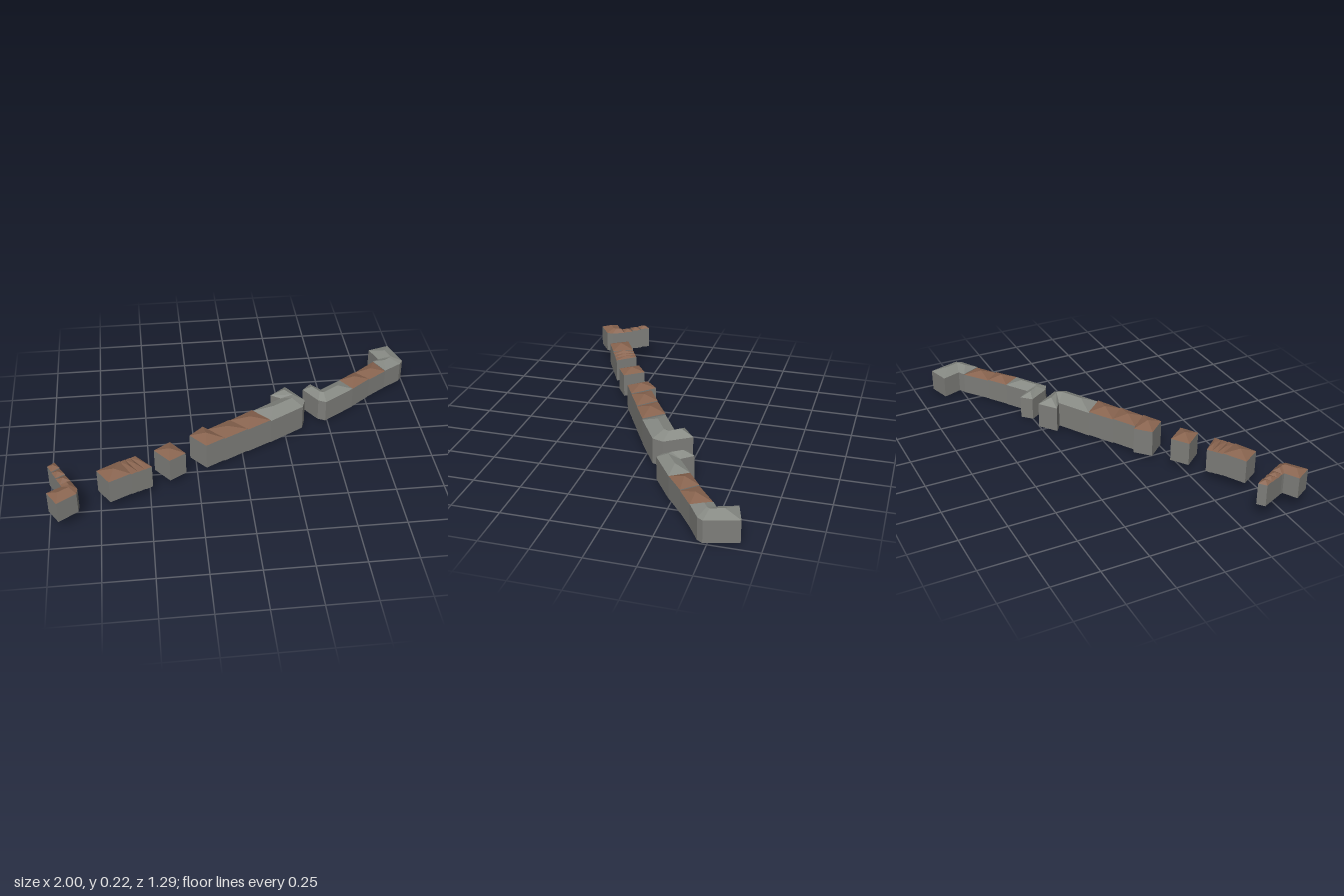
import * as THREE from 'three';

const wallGrey = new THREE.MeshStandardMaterial({ color: 0x7e7e7a });
wallGrey.name = 'wallGrey';
const slateGrey = new THREE.MeshStandardMaterial({ color: 0x868983 });
slateGrey.name = 'slateGrey';
const tileBrown = new THREE.MeshStandardMaterial({ color: 0x89644f });
tileBrown.name = 'tileBrown';

const mix = (a, b, t) => a.map((v, i) => v + (b[i] - v) * t);

// Flat-faced mesh from a list of polygons (each a convex fan of points)
function facetMesh(name, polygons, material) {
  const pos = [];
  for (const p of polygons)
    for (let i = 1; i < p.length - 1; i++) pos.push(...p[0], ...p[i], ...p[i + 1]);
  const geo = new THREE.BufferGeometry();
  geo.setAttribute('position', new THREE.Float32BufferAttribute(pos, 3));
  geo.computeVertexNormals();
  const mesh = new THREE.Mesh(geo, material);
  mesh.name = name;
  return mesh;
}

// House following a path: left and right outlines as [x, z], hipped roof with
// a central ridge. An inset of 0.5 on a four-cornered plan gives a pyramid.
function house(name, left, right, base, eave, rise, inset, roofMaterial) {
  const at = (p, y) => [p[0], y, p[1]];
  const n = left.length - 1;
  const mids = left.map((p, i) => mix(p, right[i], 0.5));
  const ridge = mids.slice();
  ridge[0] = mix(mids[0], mids[1], inset);
  ridge[n] = mix(mids[n], mids[n - 1], inset);
  const walls = [], roof = [];
  const wall = (a, b) => walls.push([at(a, base), at(b, base), at(b, eave), at(a, eave)]);
  const top = eave + rise;

  wall(left[0], right[0]);
  wall(right[n], left[n]);
  roof.push([at(left[0], eave), at(right[0], eave), at(ridge[0], top)]);
  roof.push([at(right[n], eave), at(left[n], eave), at(ridge[n], top)]);
  for (let i = 0; i < n; i++) {
    const [l0, l1, r0, r1] = [left[i], left[i + 1], right[i], right[i + 1]];
    wall(r0, r1);
    wall(l1, l0);
    walls.push([at(l0, base), at(l1, base), at(r1, base), at(r0, base)]);
    roof.push([at(r0, eave), at(r1, eave), at(ridge[i + 1], top), at(ridge[i], top)]);
    roof.push([at(l1, eave), at(l0, eave), at(ridge[i], top), at(ridge[i + 1], top)]);
  }
  const group = new THREE.Group();
  group.name = name;
  group.add(facetMesh('walls', walls, wallGrey), facetMesh('roof', roof, roofMaterial));
  return group;
}

// Several narrow pyramid-roofed houses between two end edges
function narrowRow(name, l0, l1, r0, r1, count, bases, eaves, rise) {
  const row = new THREE.Group();
  row.name = name;
  for (let i = 0; i < count; i++) {
    const a = i / count, b = (i + 1) / count, m = count > 1 ? i / (count - 1) : 0;
    row.add(house('narrowHouse', [mix(l0, l1, a), mix(l0, l1, b)], [mix(r0, r1, a), mix(r0, r1, b)],
      mix(bases, [bases[1], 0], m)[0], mix(eaves, [eaves[1], 0], m)[0], rise, 0.5, tileBrown));
  }
  return row;
}

export function createModel() {
  const model = new THREE.Group();
  model.name = 'terracedHouses';
  const square = (name, l, r, base, eave, rise) =>
    model.add(house(name, l, r, base, eave, rise, 0.5, tileBrown));

  // East terrace: two slate corner wings with tiled houses between
  model.add(house('eastTerraceLeftWing',
    [[0.43, -0.30], [0.48, -0.24], [0.48, -0.24], [0.60, -0.32]],
    [[0.38, -0.25], [0.45, -0.14], [0.49, -0.12], [0.66, -0.23]], 0, 0.125, 0.025, 0.4, slateGrey));
  square('eastHouse', [[0.60, -0.32], [0.70, -0.39]], [[0.66, -0.23], [0.77, -0.315]], 0.002, 0.125, 0.026);
  square('eastHouse', [[0.70, -0.39], [0.83, -0.49]], [[0.77, -0.315], [0.88, -0.39]], 0.004, 0.12, 0.022);
  model.add(house('eastTerraceRightWing',
    [[0.83, -0.49], [0.865, -0.51], [0.865, -0.51], [0.83, -0.61]],
    [[0.88, -0.39], [0.98, -0.45], [1.0, -0.48], [0.95, -0.645]], 0.005, 0.123, 0.026, 0.5, slateGrey));

  // Middle terrace: tiled houses ending in a slate corner wing
  square('middleHouse', [[-0.28, 0.15], [-0.205, 0.08]], [[-0.20, 0.245], [-0.10, 0.19]], 0.02, 0.165, 0.025);
  square('middleHouse', [[-0.18, 0.10], [-0.06, 0.03]], [[-0.10, 0.19], [0.03, 0.12]], 0.015, 0.16, 0.022);
  square('middleHouse', [[-0.06, 0.03], [0.07, -0.05]], [[0.03, 0.12], [0.16, 0.05]], 0.01, 0.155, 0.025);
  model.add(house('middleTerraceWing',
    [[0.07, -0.05], [0.24, -0.15], [0.24, -0.15], [0.19, -0.185]],
    [[0.16, 0.05], [0.35, -0.06], [0.37, -0.12], [0.28, -0.255]], 0.006, 0.148, 0.032, 0.4, slateGrey));

  // Detached house
  square('detachedHouse', [[-0.47, 0.26], [-0.385, 0.20]], [[-0.395, 0.355], [-0.31, 0.30]], 0.042, 0.17, 0.022);

  // West terrace: one wide house and three narrow ones
  square('westHouse', [[-0.76, 0.415], [-0.645, 0.35]], [[-0.70, 0.51], [-0.59, 0.455]], 0.06, 0.188, 0.022);
  model.add(narrowRow('westNarrowHouses', [-0.645, 0.35], [-0.565, 0.305], [-0.59, 0.455], [-0.485, 0.40],
    3, [0.057, 0.05], [0.183, 0.178], 0.012));

  // Corner house with a narrow row running back from it
  model.add(house('cornerHouse',
    [[-1.0, 0.56], [-0.93, 0.52], [-0.93, 0.52], [-0.935, 0.505]],
    [[-0.95, 0.645], [-0.855, 0.58], [-0.85, 0.545], [-0.885, 0.48]], 0.075, 0.19, 0.02, 0.4, tileBrown));
  model.add(narrowRow('backNarrowHouses', [-0.965, 0.345], [-0.885, 0.48], [-1.0, 0.375], [-0.935, 0.505],
    3, [0.085, 0.077], [0.204, 0.192], 0.014));
  return model;
}
